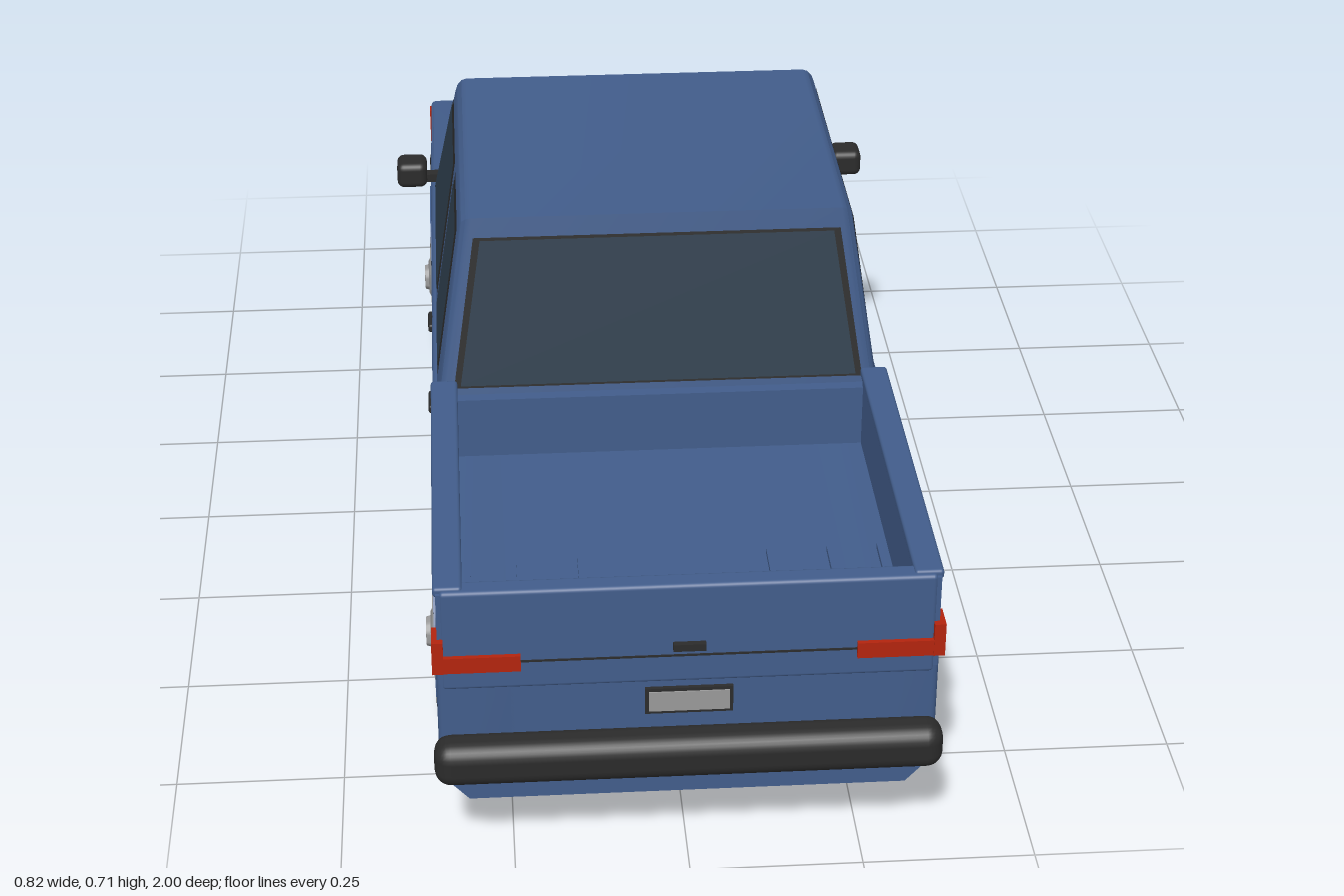
import * as THREE from 'three';
import { toCreasedNormals } from 'three/addons/utils/BufferGeometryUtils.js';
import { RoundedBoxGeometry } from 'three/addons/geometries/RoundedBoxGeometry.js';

const mat = (name, color, side = THREE.FrontSide) => {
  const m = new THREE.MeshStandardMaterial({ color, side });
  m.name = name;
  return m;
};

export function createModel() {
  const paint = mat('blue paint', 0x425d8b);
  const glass = mat('tinted glass', 0x2e3e4d);
  const black = mat('black trim', 0x2b2b2b, THREE.DoubleSide);
  const under = mat('underbody black', 0x161616);
  const silver = mat('silver', 0x9a9a9a);
  const red = mat('red lens', 0xb3240e);
  const truck = new THREE.Group();
  truck.name = 'pickupTruck';

  const add = (name, geo, material, x = 0, y = 0, z = 0) => {
    const m = new THREE.Mesh(geo, material);
    m.name = name;
    m.position.set(x, y, z);
    truck.add(m);
    return m;
  };
  // Box given by its limits, optionally rounded
  const box = (name, material, x0, x1, y0, y1, z0, z1, r = 0) => {
    const s = [Math.abs(x1 - x0), y1 - y0, z1 - z0];
    const geo = r ? new RoundedBoxGeometry(...s, 3, r) : new THREE.BoxGeometry(...s);
    return add(name, geo, material, (x0 + x1) / 2, (y0 + y1) / 2, (z0 + z1) / 2);
  };
  // Side profile in (z, y), extruded across x and centred
  const across = (shape, width, bevel) => {
    const g = new THREE.ExtrudeGeometry(shape, {
      depth: width - 2 * bevel, curveSegments: 24, bevelEnabled: bevel > 0,
      bevelSize: bevel, bevelThickness: bevel, bevelOffset: -bevel, bevelSegments: 3,
    });
    g.translate(0, 0, -(width - 2 * bevel) / 2).rotateY(-Math.PI / 2);
    return g;
  };
  const shapeOf = (pts) => new THREE.Shape(pts.map((p) => new THREE.Vector2(...p)));

  const WHEELS = [-0.595, 0.58], AXLE = 0.143, ARCH = 0.16;
  const top = [[0.955, 0.33], [0.36, 0.33], [0.36, 0.415], [-0.42, 0.415], [-0.95, 0.347]];

  // Central body between the wheels
  add('bodyCore', across(shapeOf([[-0.95, 0.11], [0.955, 0.11], ...top]), 0.5, 0), paint);

  // Body sides with wheel arches, and the chamfered sills below them
  const flank = new THREE.Shape();
  const a = Math.asin((0.16 - AXLE) / ARCH);
  flank.moveTo(-0.95, 0.16);
  for (const z of WHEELS) flank.absarc(z, AXLE, ARCH, Math.PI - a, a, true);
  flank.lineTo(0.955, 0.16);
  top.forEach((p) => flank.lineTo(...p));
  const flankGeo = toCreasedNormals(across(flank, 0.117, 0.01), 0.6);
  const sillRuns = [[-0.95, -0.755], [-0.435, 0.42], [0.74, 0.955]];

  // Tyre and wheel profiles, turned about the axle
  const lathe = (pts) => toCreasedNormals(
    new THREE.LatheGeometry(pts.map((p) => new THREE.Vector2(...p)), 40).rotateZ(-Math.PI / 2), 0.6);
  const tyreGeo = lathe([[0.07, -0.05], [0.115, -0.052], [0.134, -0.044], [0.143, -0.025], [0.143, -0.008],
    [0.139, -0.006], [0.139, 0.006], [0.143, 0.008], [0.143, 0.025], [0.134, 0.044], [0.115, 0.052],
    [0.085, 0.05], [0.078, 0.04]]);
  const rimGeo = lathe([[0.001, -0.045], [0.08, -0.045], [0.08, 0.05], [0.074, 0.054], [0.064, 0.046],
    [0.045, 0.05], [0.03, 0.058], [0.024, 0.058], [0.022, 0.065], [0, 0.066]]);

  for (const s of [1, -1]) {
    const side = s > 0 ? 'left' : 'right';
    add(side + 'BodySide', flankGeo, paint, s * 0.2945);
    for (const [z0, z1] of sillRuns) {
      const sec = shapeOf([[0.24, 0.11], [0.312, 0.11], [0.353, 0.155], [0.353, 0.19], [0.24, 0.19]]
        .map(([x, y]) => [x * s, y]));
      add(side + 'Sill', new THREE.ExtrudeGeometry(sec, { depth: z1 - z0, bevelEnabled: false }), paint, 0, 0, z0);
    }
    WHEELS.forEach((z, i) => {
      const end = i ? 'Rear' : 'Front';
      const tyre = add(side + end + 'Tyre', tyreGeo, black, s * 0.307, AXLE + 0.001, z);
      const rim = add(side + end + 'Rim', rimGeo, silver, s * 0.307, AXLE + 0.001, z);
      tyre.rotation.y = rim.rotation.y = s > 0 ? 0 : Math.PI;
      for (let k = 0; k < 12; k++) { // wheel slots
        const t = (k * Math.PI) / 6;
        const slot = box('wheelSlot', black, -0.004, 0.004, -0.004, 0.004, -0.007, 0.007);
        slot.position.set(s * 0.3525, AXLE + 0.057 * Math.sin(t), z + 0.057 * Math.cos(t));
        slot.rotation.x = -t;
      }
      // Dark wheel well: back disc and arched liner
      add('wellBack', new THREE.CircleGeometry(ARCH, 32, 0, Math.PI).rotateY(s * Math.PI / 2), black,
        s * 0.252, AXLE, z);
      const liner = new THREE.CylinderGeometry(0.157, 0.157, 0.104, 32, 1, true, 0, Math.PI);
      add('wellLiner', liner.rotateZ(Math.PI / 2), black, s * 0.302, AXLE, z);
      // Flare around the arch
      const ring = new THREE.Shape();
      ring.absarc(0, 0, 0.172, 0, Math.PI, false);
      ring.absarc(0, 0, 0.158, Math.PI, 0, true);
      add(side + end + 'Flare', across(ring, 0.02, 0), paint, s * 0.348, AXLE, z);
    });

    // Bed walls with a rolled rim, and floor ribs
    box(side + 'BedWall', paint, s * 0.318, s * 0.35, 0.31, 0.457, 0.37, 0.955);
    box(side + 'BedRim', paint, s * 0.313, s * 0.354, 0.45, 0.465, 0.37, 0.95, 0.005);
    for (const x of [0.14, 0.23, 0.305]) box('bedRib', paint, s * x - 0.004, s * x + 0.004, 0.325, 0.338, 0.68, 0.92);

    // Lamps
    box(side + 'TailLamp', red, s * 0.235, s * 0.35, 0.333, 0.358, 0.94, 0.964);
    box(side + 'TailLampCorner', red, s * 0.342, s * 0.358, 0.333, 0.385, 0.925, 0.965);
    box(side + 'Indicator', red, s * 0.312, s * 0.356, 0.268, 0.332, -0.96, -0.935);
    box(side + 'HeadlampFrame', black, s * 0.18, s * 0.3, 0.263, 0.333, -0.954, -0.945);
    box(side + 'Headlamp', silver, s * 0.187, s * 0.294, 0.269, 0.327, -0.959, -0.95);

    // Mirror, its stalk and the door handles
    box(side + 'Mirror', black, s * 0.358, s * 0.41, 0.446, 0.492, -0.405, -0.35, 0.012);
    box(side + 'MirrorStalk', black, s * 0.325, s * 0.365, 0.452, 0.466, -0.385, -0.365);
    for (const z of [0.25, -0.018]) box(side + 'DoorHandle', black, s * 0.348, s * 0.36, 0.366, 0.38, z, z + 0.052, 0.004);
    for (const z of [0.335, 0.055]) box(side + 'DoorSeam', black, s * 0.35, s * 0.3535, 0.2, 0.41, z, z + 0.002);
  }

  // Bed ends and tailgate
  box('bedFront', paint, -0.345, 0.345, 0.31, 0.43, 0.35, 0.375);
  box('tailgate', paint, -0.345, 0.345, 0.3, 0.461, 0.925, 0.957, 0.006);
  box('tailgateSeam', black, -0.235, 0.235, 0.344, 0.347, 0.95, 0.9585);
  box('tailgateHandle', black, -0.023, 0.023, 0.357, 0.368, 0.95, 0.966);
  box('plateFrame', black, -0.062, 0.062, 0.25, 0.292, 0.95, 0.961);
  box('plate', silver, -0.057, 0.057, 0.255, 0.287, 0.955, 0.963);

  // Bumpers, grille and underbody
  box('rearBumper', black, -0.36, 0.36, 0.157, 0.225, 0.94, 1, 0.024);
  box('frontBumper', black, -0.36, 0.36, 0.167, 0.235, -1, -0.94, 0.024);
  box('grille', black, -0.155, 0.155, 0.263, 0.333, -0.955, -0.945);
  for (let i = 0; i < 5; i++) box('grilleBar', under, -0.148, 0.148, 0.27 + i * 0.012, 0.275 + i * 0.012, -0.958, -0.95);
  box('underbody', under, -0.245, 0.245, 0.085, 0.115, -0.83, 0.85);

  // Cab, narrowing towards the roof
  const narrow = (y) => 1 - (y - 0.415) * 0.44;
  const cabGeo = across(shapeOf([[-0.437, 0.395], [0.362, 0.395], [0.31, 0.712], [-0.22, 0.712]]), 0.69, 0.018);
  const p = cabGeo.attributes.position;
  for (let i = 0; i < p.count; i++) p.setX(i, p.getX(i) * narrow(p.getY(i)));
  add('cab', toCreasedNormals(cabGeo, 0.6), paint);

  // Flat pane lying just outside the cab, with a dark surround
  const pane = (name, corners) => {
    let pts = corners.map((c) => new THREE.Vector3(...c));
    const mid = pts.reduce((m, v) => m.add(v), new THREE.Vector3()).divideScalar(pts.length);
    const normal = () => pts[1].clone().sub(pts[0]).cross(pts[2].clone().sub(pts[0])).normalize();
    if (normal().dot(mid.clone().sub(new THREE.Vector3(0, 0.45, mid.z * 0.5))) < 0) pts.reverse();
    const n = normal();
    const face = (label, material, grow, lift) => {
      const q = pts.map((v) => {
        const d = v.clone().sub(mid);
        return v.clone().addScaledVector(d.normalize(), grow).addScaledVector(n, lift);
      });
      const g = new THREE.BufferGeometry().setFromPoints(
        q.slice(2).flatMap((_, i) => [q[0], q[i + 1], q[i + 2]]));
      g.computeVertexNormals();
      add(label, g, material);
    };
    face(name + 'Surround', black, 0.011, 0.002);
    face(name, glass, 0, 0.004);
  };
  const frontZ = (y) => -0.437 + ((y - 0.395) / 0.317) * 0.217;
  const rearZ = (y) => 0.362 - ((y - 0.395) / 0.317) * 0.052;
  const endPane = (name, zOf, y0, y1, w0, w1) => pane(name,
    [[-w0, y0, zOf(y0)], [w0, y0, zOf(y0)], [w1, y1, zOf(y1)], [-w1, y1, zOf(y1)]]);
  endPane('windscreen', frontZ, 0.432, 0.675, 0.305, 0.27);
  endPane('rearWindow', rearZ, 0.445, 0.677, 0.308, 0.272);
  for (const s of [1, -1]) {
    const onSide = (pts) => pts.map(([z, y]) => [s * 0.345 * narrow(y), y, z]);
    pane('rearSideWindow', onSide([[0.293, 0.445], [0.278, 0.675], [0.092, 0.675], [0.084, 0.445]]));
    pane('frontSideWindow', onSide([[0.028, 0.445], [0.036, 0.675], [-0.198, 0.675], [-0.365, 0.445]]));
  }
  return truck;
}
